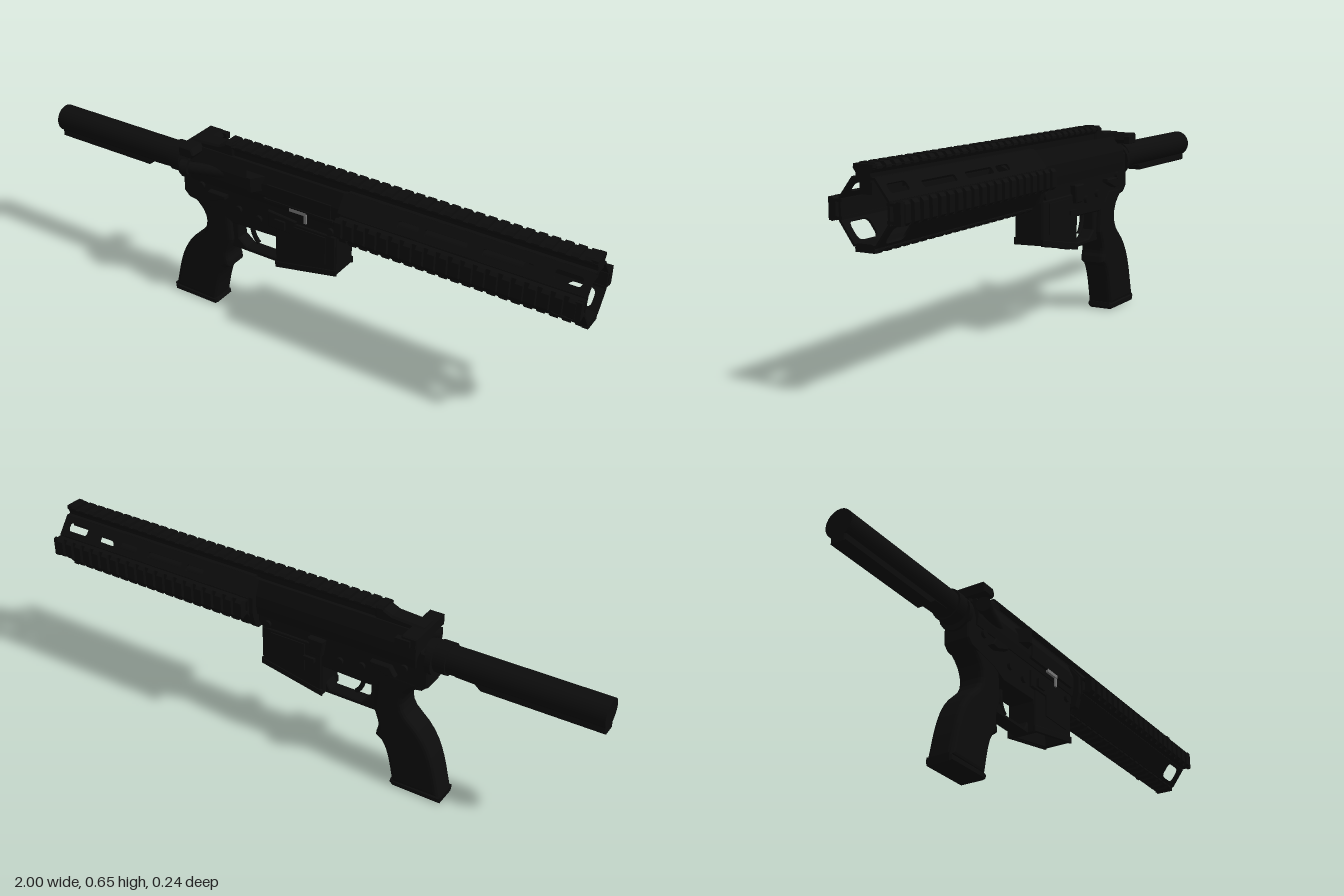
import * as THREE from 'three';

const black = new THREE.MeshStandardMaterial({ color: 0x0c0c0c });
black.name = 'matte black';
const grey = new THREE.MeshStandardMaterial({ color: 0x777777 });
grey.name = 'bare steel';
const AXIS = 0.53; // height of the bore line

export function createModel() {
  const root = new THREE.Group();
  root.name = 'model';

  const add = (name, geo, parent = root, mat = black) => {
    const m = new THREE.Mesh(geo, mat);
    m.name = name;
    parent.add(m);
    return m;
  };
  // box given by its limits
  const box = (name, x0, x1, y0, y1, z0, z1, parent = root, mat = black) => {
    const g = new THREE.BoxGeometry(x1 - x0, y1 - y0, z1 - z0);
    g.translate((x0 + x1) / 2, (y0 + y1) / 2, (z0 + z1) / 2);
    return add(name, g, parent, mat);
  };
  // cylinder lying along x
  const rod = (name, x0, x1, r, y = AXIS, sides = 24, parent = root) => {
    const g = new THREE.CylinderGeometry(r, r, x1 - x0, sides);
    g.rotateZ(-Math.PI / 2);
    g.translate((x0 + x1) / 2, y, 0);
    return add(name, g, parent);
  };
  const outline = (pts) => new THREE.Shape(pts.map(([x, y]) => new THREE.Vector2(x, y)));
  // side outline extruded across z, with chamfered edges
  const slab = (name, shape, z0, z1, bevel = 0, segs = 1) => {
    const g = new THREE.ExtrudeGeometry(shape, {
      depth: z1 - z0 - 2 * bevel, bevelEnabled: bevel > 0, bevelSize: bevel,
      bevelThickness: bevel, bevelOffset: -bevel, bevelSegments: segs, curveSegments: 8,
    });
    g.translate(0, 0, z0 + bevel);
    return add(name, g);
  };
  // cross-section (z, y) extruded along x
  const along = (name, pts, x0, x1, parent = root) => {
    const g = new THREE.ExtrudeGeometry(outline(pts), { depth: x1 - x0, bevelEnabled: false });
    g.rotateY(Math.PI / 2);
    g.translate(x0, 0, 0);
    return add(name, g, parent);
  };
  const slot = (x0, x1, y0, y1, r) => {
    const p = new THREE.Path();
    p.moveTo(x0 + r, y0); p.lineTo(x1 - r, y0); p.quadraticCurveTo(x1, y0, x1, y0 + r);
    p.lineTo(x1, y1 - r); p.quadraticCurveTo(x1, y1, x1 - r, y1);
    p.lineTo(x0 + r, y1); p.quadraticCurveTo(x0, y1, x0, y1 - r);
    p.lineTo(x0, y0 + r); p.quadraticCurveTo(x0, y0, x0 + r, y0);
    return p;
  };

  // toothed rail, turned around the bore line
  const rail = (name, x0, x1, r, foot, turn, hollow) => {
    const g = new THREE.Group();
    g.name = name;
    g.position.y = AXIS;
    g.rotation.x = turn;
    root.add(g);
    if (hollow) for (const s of [-1, 1]) box('railStrut', x0, x1, foot, r - 0.015, s * 0.023 - 0.004, s * 0.023 + 0.004, g);
    else box('railNeck', x0, x1, foot, r - 0.02, -0.023, 0.023, g);
    along('railBase', [[-0.024, r - 0.026], [0.024, r - 0.026], [0.033, r - 0.012], [-0.033, r - 0.012]], x0, x1, g);
    const tooth = [[-0.033, r - 0.016], [0.033, r - 0.016], [0.033, r - 0.009], [0.024, r], [-0.024, r], [-0.033, r - 0.009]];
    const n = Math.round((x1 - x0) / 0.04);
    const pitch = (x1 - x0) / n;
    for (let i = 0; i < n; i++) along('railTooth', tooth, x0 + i * pitch, x0 + i * pitch + pitch * 0.6, g);
    box('railEnd', x1 - 0.02, x1, r - 0.016, r - 0.003, -0.031, 0.031, g);
  };
  rail('topRail', -0.27, 1, 0.125, 0.075, 0, false);
  rail('bottomRail', 0.2, 1, 0.11, 0.085, Math.PI, false);
  rail('leftRail', 0.2, 1, 0.118, 0.072, Math.PI / 2, true);
  rail('rightRail', 0.2, 1, 0.118, 0.072, -Math.PI / 2, true);

  // handguard: eight flat panels, slotted on the diagonals
  const ring = [[0.035, 0.085], [0.078, 0.03], [0.078, -0.03], [0.035, -0.09],
    [-0.035, -0.09], [-0.078, -0.03], [-0.078, 0.03], [-0.035, 0.085]];
  ring.forEach(([z0, y0], i) => {
    const [z1, y1] = ring[(i + 1) % 8];
    const len = Math.hypot(z1 - z0, y1 - y0);
    const v = new THREE.Vector3(0, (y1 - y0) / len, (z1 - z0) / len);
    const u = new THREE.Vector3(1, 0, 0);
    const shape = outline([[0.2, -0.002], [1, -0.002], [1, len + 0.002], [0.2, len + 0.002]]);
    if (i === 0 || i === 6) {
      const a = i === 0 ? len - 0.04 : 0.018;
      for (const [s, e] of [[0.39, 0.46], [0.48, 0.62], [0.67, 0.83]]) shape.holes.push(slot(s, e, a, a + 0.022, 0.009));
      shape.holes.push(slot(0.89, 0.975, 0.02, len - 0.02, 0.012));
    }
    if (i === 2 || i === 4) shape.holes.push(slot(0.89, 0.975, 0.008, len - 0.008, 0.02));
    const g = new THREE.ExtrudeGeometry(shape, { depth: 0.007, bevelEnabled: false });
    g.translate(0, 0, -0.0035);
    g.applyMatrix4(new THREE.Matrix4().makeBasis(u, v, u.clone().cross(v)).setPosition(0, AXIS + y0, z0));
    add('handguardPanel', g);
  });
  box('sightBase', 0.86, 0.99, 0.572, 0.615, -0.02, 0.02);
  rod('barrelNut', 0.17, 0.34, 0.05, AXIS, 8);
  rod('barrel', 0.3, 0.78, 0.022);
  rod('muzzle', 0.68, 0.78, 0.028, AXIS, 16);

  // upper receiver
  along('upperReceiver', [[-0.05, 0.49], [0.05, 0.49], [0.055, 0.52], [0.055, 0.56], [0.035, 0.61], [-0.035, 0.61], [-0.055, 0.56], [-0.055, 0.52]], -0.4, 0.2);
  along('receiverFront', [[-0.06, 0.45], [0.06, 0.45], [0.075, 0.5], [0.075, 0.56], [0.035, 0.612], [-0.035, 0.612], [-0.075, 0.56], [-0.075, 0.5]], 0.185, 0.21);
  slab('receiverRidge', outline([[-0.41, 0.57], [-0.41, 0.625], [-0.3, 0.632], [-0.26, 0.65], [-0.24, 0.65], [-0.24, 0.57]]), -0.03, 0.03, 0.006);
  box('portCover', -0.09, 0.15, 0.515, 0.565, 0.05, 0.059);
  box('coverHinge', -0.1, 0.16, 0.508, 0.516, 0.052, 0.063);
  const deflector = add('deflector', new THREE.ExtrudeGeometry(
    outline([[-0.18, -0.04], [-0.1, -0.04], [-0.135, -0.085], [-0.15, -0.085]]), { depth: 0.05, bevelEnabled: false }));
  deflector.rotation.x = -Math.PI / 2;
  deflector.position.y = 0.535;

  // forward assist, angled outward to the rear
  const assist = new THREE.Group();
  assist.name = 'forwardAssist';
  assist.position.set(-0.31, AXIS + 0.015, 0.05);
  assist.rotation.y = 0.3;
  root.add(assist);
  rod('assistBody', -0.08, 0.12, 0.02, 0, 16, assist);
  rod('assistButton', -0.11, -0.085, 0.025, 0, 16, assist);

  // charging handle
  box('chargingHandle', -0.42, -0.27, 0.59, 0.62, -0.025, 0.025);
  slab('handleBar', outline([[-0.42, 0.586], [-0.37, 0.586], [-0.36, 0.6], [-0.37, 0.621], [-0.42, 0.621]]), -0.092, 0.088, 0.004);
  box('handleLatch', -0.4, -0.35, 0.59, 0.612, -0.1, -0.08);

  // lower receiver
  slab('lowerReceiver', outline([[-0.44, 0.43], [-0.42, 0.41], [-0.3, 0.39], [-0.24, 0.365], [-0.06, 0.37],
    [-0.05, 0.4], [0.165, 0.4], [0.165, 0.44], [0.185, 0.46], [0.185, 0.5], [-0.39, 0.5], [-0.41, 0.55], [-0.44, 0.55]]), -0.046, 0.046, 0.005);

  // open magazine well with a flared lip
  const wall = outline([[-0.06, 0.265], [0.165, 0.31], [0.165, 0.45], [-0.06, 0.45]]);
  const lip = outline([[-0.065, 0.26], [0.17, 0.307], [0.17, 0.33], [-0.065, 0.283]]);
  for (const s of [-1, 1]) {
    slab('wellSide', wall, s * 0.046 - 0.006, s * 0.046 + 0.006, 0.003);
    slab('wellLip', lip, s * 0.049 - 0.005, s * 0.049 + 0.005, 0.002);
    box('wellPanel', 0.0, 0.13, 0.34, 0.44, s * 0.053 - 0.003, s * 0.053 + 0.003);
  }
  box('wellFront', 0.152, 0.168, 0.31, 0.45, -0.047, 0.047);
  box('wellBack', -0.064, -0.048, 0.263, 0.45, -0.047, 0.047);

  // trigger and guard
  slab('triggerGuard', outline([[-0.27, 0.258], [-0.06, 0.258], [-0.05, 0.3], [-0.065, 0.3], [-0.08, 0.274],
    [-0.2, 0.274], [-0.232, 0.3], [-0.232, 0.37], [-0.29, 0.39]]), -0.025, 0.025, 0.004);
  const triggerPath = new THREE.QuadraticBezierCurve3(new THREE.Vector3(-0.19, 0.38, 0),
    new THREE.Vector3(-0.2, 0.32, 0), new THREE.Vector3(-0.165, 0.29, 0));
  add('trigger', new THREE.TubeGeometry(triggerPath, 10, 0.008, 8));

  // pistol grip
  const grip = new THREE.Shape();
  grip.moveTo(-0.44, 0.425);
  grip.bezierCurveTo(-0.35, 0.39, -0.33, 0.32, -0.39, 0.275);
  grip.bezierCurveTo(-0.47, 0.21, -0.48, 0.13, -0.505, 0.02);
  grip.lineTo(-0.33, 0.015);
  grip.bezierCurveTo(-0.315, 0.09, -0.31, 0.13, -0.285, 0.165);
  grip.lineTo(-0.262, 0.18);
  grip.lineTo(-0.265, 0.2);
  grip.bezierCurveTo(-0.28, 0.23, -0.26, 0.25, -0.25, 0.29);
  grip.lineTo(-0.26, 0.4);
  grip.lineTo(-0.3, 0.44);
  slab('grip', grip, -0.047, 0.045, 0.016, 3);
  slab('gripCap', outline([[-0.51, 0.025], [-0.507, 0], [-0.335, 0], [-0.322, 0.01], [-0.325, 0.025]]), -0.046, 0.044, 0.006);

  // controls on both sides
  for (const s of [-1, 1]) {
    const lever = slab('selector', outline([[-0.34, 0.445], [-0.31, 0.44], [-0.25, 0.463], [-0.25, 0.475], [-0.32, 0.475]]), s * 0.055 - 0.011, s * 0.055 + 0.011, 0.003);
    lever.position.z = s * 0.004;
    for (const [x, y] of [[-0.36, 0.475], [0.145, 0.465], [-0.13, 0.42], [-0.21, 0.43]]) {
      const pin = add('pin', new THREE.CylinderGeometry(0.013, 0.013, 0.012, 16));
      pin.rotation.x = Math.PI / 2;
      pin.position.set(x, y, s * 0.05);
    }
  }
  slab('boltCatch', outline([[-0.07, 0.42], [-0.03, 0.42], [-0.02, 0.48], [-0.08, 0.48]]), -0.068, -0.044, 0.004);
  box('catchPaddle', -0.04, 0.0, 0.385, 0.4, -0.062, -0.044);
  box('magazineButton', -0.06, -0.02, 0.42, 0.45, 0.044, 0.064);
  slab('releaseFence', outline([[-0.09, 0.41], [0.0, 0.41], [0.02, 0.46], [-0.09, 0.47]]), 0.044, 0.056, 0.003);

  // exposed steel at the port
  box('steelStrip', 0.0, 0.062, 0.5, 0.511, 0.055, 0.064, root, grey);
  box('steelTab', 0.052, 0.062, 0.47, 0.5, 0.055, 0.061, root, grey);

  // buffer tube with its lower keel
  rod('bufferTube', -1, -0.42, 0.046, AXIS, 32);
  slab('tubeKeel', outline([[-1, 0.468], [-0.605, 0.468], [-0.585, 0.485], [-0.52, 0.487], [-0.52, 0.52], [-1, 0.52]]), -0.026, 0.026, 0.004);
  rod('castleNut', -0.495, -0.455, 0.053, AXIS, 16);
  rod('endPlate', -0.45, -0.43, 0.058, 0.52, 16);
  return root;
}
